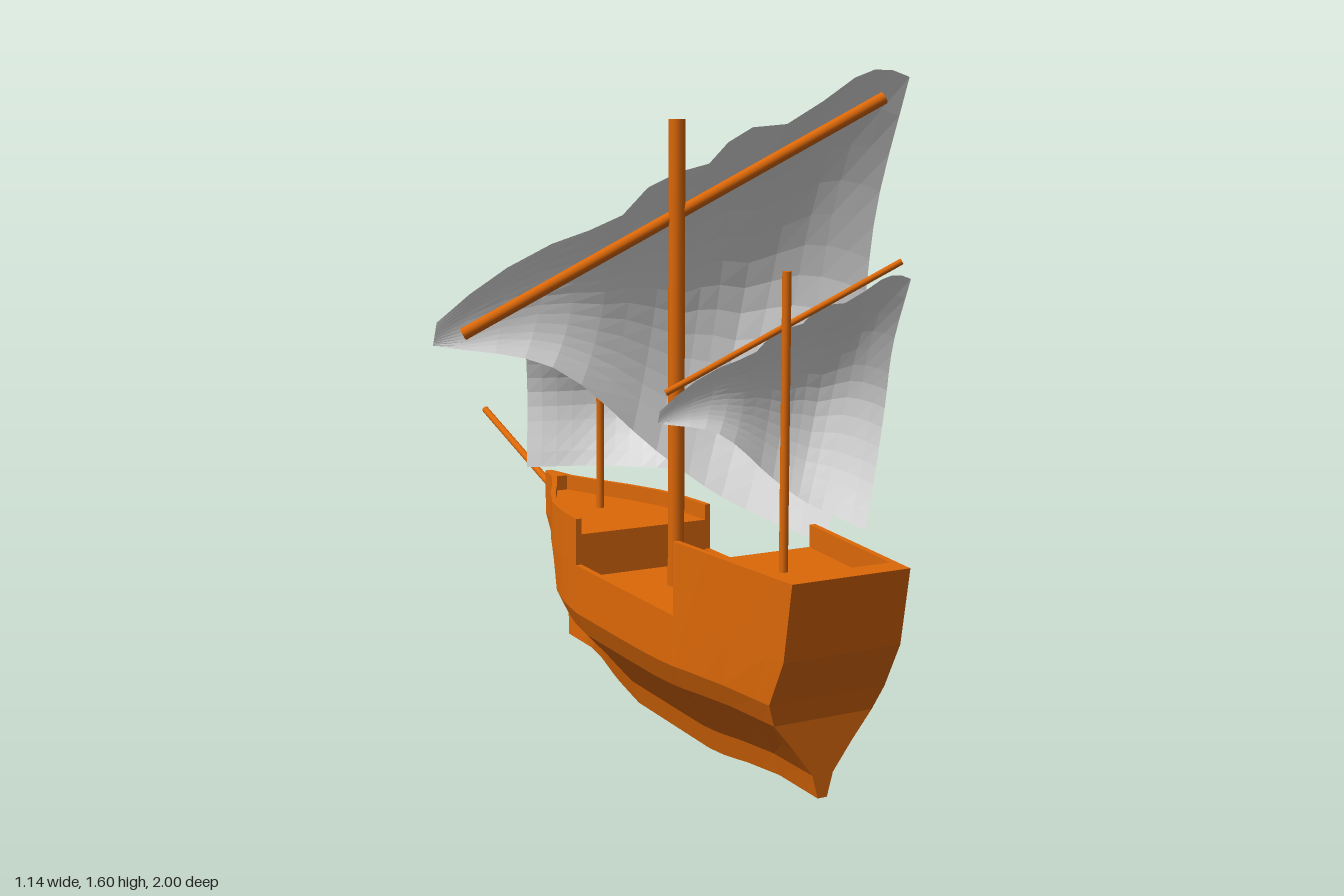
import * as THREE from 'three';

const CX = -0.04; // hull centreline

// Piecewise linear lookup in [[z, value], ...] with z falling
function lookup(table, z) {
  for (let i = 1; i < table.length; i++) {
    const [z0, a] = table[i - 1], [z1, b] = table[i];
    if (z >= z1) return a + (b - a) * (z0 - z) / (z0 - z1);
  }
  return table[table.length - 1][1];
}

const PLAN = [[1, 0.145], [0.56, 0.187], [0.3, 0.19], [0.05, 0.19], [-0.05, 0.18], [-0.15, 0.16],
  [-0.25, 0.12], [-0.33, 0.08], [-0.44, 0.03], [-0.53, 0.01]];
const KEEL = [[1, 0.04], [0.8, 0.04], [0.6, 0.022], [0.46, 0], [0.06, 0], [-0.12, 0.027], [-0.3, 0.066],
  [-0.53, 0.066]];
// Hull levels: height, width fraction, stern z, bow z
const LEVELS = [[0, 0.08, 0.9, -0.38], [0.06, 0.18, 0.9, -0.38], [0.13, 0.5, 0.9, -0.385],
  [0.2, 0.85, 0.9, -0.425], [0.26, 1, 0.915, -0.46], [0.38, 1, 0.97, -0.53], [1, 1, 1, -0.53]];

// Cross-section ring: up the left side, over rail and deck, down the right side
function ring(z, top, deck) {
  const hw = lookup(PLAN, z), keel = lookup(KEEL, z);
  const side = LEVELS.map(([y, w, zs, zb], j) => {
    let zz = z;
    if (z > 0.56) zz = 0.56 + (z - 0.56) * (zs - 0.56) / 0.44;
    if (z < 0.06) zz = 0.06 + (z - 0.06) * (zb - 0.06) / -0.59;
    const yy = j === 6 ? top : y + keel * (1 - y / 0.38);
    return [Math.max(0.01, hw * w), yy, zz];
  });
  const inner = Math.max(0.004, hw - 0.015);
  side.push([inner, top, z], [inner, deck, z]);
  return [...side.map(([x, y, q]) => new THREE.Vector3(CX + x, y, q)),
    ...side.reverse().map(([x, y, q]) => new THREE.Vector3(CX - x, y, q))];
}

// Faceted geometry from a list of corner points
function facets(points) {
  const g = new THREE.BufferGeometry().setFromPoints(points);
  g.computeVertexNormals();
  return g;
}

// Skin between rings, with optional end caps
function loft(rings, capped) {
  const pts = [], n = rings[0].length;
  const quad = (a, b, c, d) => pts.push(a, b, c, a, c, d);
  for (let s = 0; s < rings.length - 1; s++) {
    for (let i = 0; i < n; i++) {
      const k = (i + 1) % n;
      quad(rings[s][i], rings[s + 1][i], rings[s + 1][k], rings[s][k]);
    }
  }
  // Cap: planks across each level up to the deck, then the two rail ends
  const cap = (r) => {
    const levels = [0, 1, 2, 3, 4, 5, 8];
    for (let i = 1; i < levels.length; i++) {
      const lo = levels[i - 1], hi = levels[i];
      quad(r[n - 1 - lo], r[lo], r[hi], r[n - 1 - hi]);
    }
    quad(r[5], r[6], r[7], r[8]);
    quad(r[9], r[10], r[11], r[12]);
  };
  if (capped) {
    cap(rings[0]);
    // Mirroring left and right turns the far cap around
    cap([...rings[rings.length - 1]].reverse());
  }
  return facets(pts);
}

const curve = (pts) => new THREE.CatmullRomCurve3(pts.map((p) => new THREE.Vector3(...p)));

// Sail cloth stretched between four edge curves, with extra belly towards the leech
function sailGeometry(foot, head, luff, leech, belly, nu = 16, nv = 14) {
  const [f, h, l, r] = [foot, head, luff, leech].map(curve);
  const at = (i, j) => {
    const u = i / nu, v = j / nv;
    const p = new THREE.Vector3();
    p.addScaledVector(f.getPoint(u), 1 - v).addScaledVector(h.getPoint(u), v);
    p.addScaledVector(l.getPoint(v), 1 - u).addScaledVector(r.getPoint(v), u);
    p.addScaledVector(f.getPoint(0), -(1 - u) * (1 - v)).addScaledVector(f.getPoint(1), -u * (1 - v));
    p.addScaledVector(h.getPoint(0), -(1 - u) * v).addScaledVector(h.getPoint(1), -u * v);
    return p.addScaledVector(belly, Math.sin(Math.PI * u * u) * Math.sin(Math.PI * v));
  };
  const pts = [];
  for (let i = 0; i < nu; i++) {
    for (let j = 0; j < nv; j++) {
      const a = at(i, j), b = at(i + 1, j), c = at(i + 1, j + 1), d = at(i, j + 1);
      pts.push(a, b, c, a, c, d);
    }
  }
  return facets(pts);
}

export function createModel() {
  const model = new THREE.Group();
  model.name = 'sailingShip';
  const wood = new THREE.MeshStandardMaterial({ color: 0xdc6808 });
  wood.name = 'wood';
  const cloth = new THREE.MeshStandardMaterial({ color: 0xe0e0e0, side: THREE.DoubleSide });
  cloth.name = 'sailcloth';

  const add = (name, geometry, material) => {
    const mesh = new THREE.Mesh(geometry, material);
    mesh.name = name;
    model.add(mesh);
    return mesh;
  };

  // Hull in three lengths; each station is z, rail height, deck height
  const stations = (zs, top, deck) => zs.map((z) => ring(z, top, deck));
  add('sternCastle', loft([ring(1, 0.553, 0.553), ring(0.94, 0.553, 0.553),
    ...stations([0.94, 0.8, 0.7, 0.62, 0.565], 0.553, 0.5)], true), wood);
  add('waist', loft(stations([0.565, 0.5, 0.43, 0.3, 0.18, 0.06], 0.383, 0.35), false), wood);
  add('forecastle', loft([
    ...stations([0.06, 0, -0.05, -0.1, -0.15, -0.2, -0.25, -0.33, -0.38, -0.44], 0.5, 0.46),
    ring(-0.44, 0.5, 0.5), ring(-0.53, 0.5, 0.5)], true), wood);

  // Round spar between two points
  const spar = (name, from, to, radius) => {
    const a = new THREE.Vector3(...from), b = new THREE.Vector3(...to);
    const dir = b.clone().sub(a);
    const mesh = add(name, new THREE.CylinderGeometry(radius, radius, dir.length(), 12), wood);
    mesh.position.copy(a).add(b).multiplyScalar(0.5);
    mesh.quaternion.setFromUnitVectors(new THREE.Vector3(0, 1, 0), dir.normalize());
  };
  spar('mainMast', [CX, 0.3, 0.23], [CX, 1.48, 0.23], 0.02);
  spar('mizzenMast', [CX, 0.4, 0.73], [CX, 1.16, 0.73], 0.01);
  spar('foreMast', [CX, 0.4, -0.195], [CX, 1.02, -0.195], 0.01);
  spar('mainYard', [-0.515, 0.975, 0.045], [0.43, 1.53, 0.4], 0.015);
  spar('mizzenYard', [-0.28, 0.9, 0.63], [0.2, 1.178, 0.81], 0.007);
  spar('foreYard', [-0.21, 0.95, -0.295], [0.12, 0.95, -0.105], 0.004);
  spar('bowsprit', [CX, 0.44, -0.45], [CX, 0.603, -0.998], 0.01);

  // Lateen sails: the mizzen is a smaller copy of the main
  const lateen = sailGeometry(
    [[-0.57, 0.945, -0.01], [-0.28, 0.88, 0.04], [0, 0.65, 0.05], [0.15, 0.53, 0.12], [0.35, 0.42, 0.3]],
    [[-0.56, 1, -0.01], [-0.42, 1.1, -0.01], [-0.24, 1.187, 0], [-0.1, 1.235, 0.03], [0, 1.333, 0.06],
      [0.12, 1.37, 0.1], [0.18, 1.45, 0.15], [0.295, 1.472, 0.21], [0.4, 1.573, 0.3], [0.465, 1.6, 0.34],
      [0.53, 1.58, 0.36]],
    [[-0.57, 0.945, -0.01], [-0.56, 1, -0.01]],
    [[0.35, 0.42, 0.3], [0.485, 0.64, 0.17], [0.565, 0.95, 0.125], [0.55, 1.25, 0.2], [0.53, 1.58, 0.36]],
    new THREE.Vector3(0.01, 0, -0.045));
  add('mainSail', lateen, cloth);
  const mizzen = add('mizzenSail', lateen, cloth);
  mizzen.scale.setScalar(0.478);
  mizzen.position.set(-0.028, 0.384, 0.638);

  // Square foresail hung from its yard
  add('foreSail', sailGeometry(
    [[-0.21, 0.567, -0.29], [-0.03, 0.567, -0.221], [0.12, 0.567, -0.1]],
    [[-0.21, 0.95, -0.295], [-0.045, 0.95, -0.2], [0.12, 0.95, -0.105]],
    [[-0.21, 0.567, -0.29], [-0.187, 0.76, -0.335], [-0.21, 0.95, -0.295]],
    [[0.12, 0.567, -0.1], [0.152, 0.76, -0.147], [0.12, 0.95, -0.105]],
    new THREE.Vector3(0.03, 0, -0.052), 10, 10), cloth);

  return model;
}
